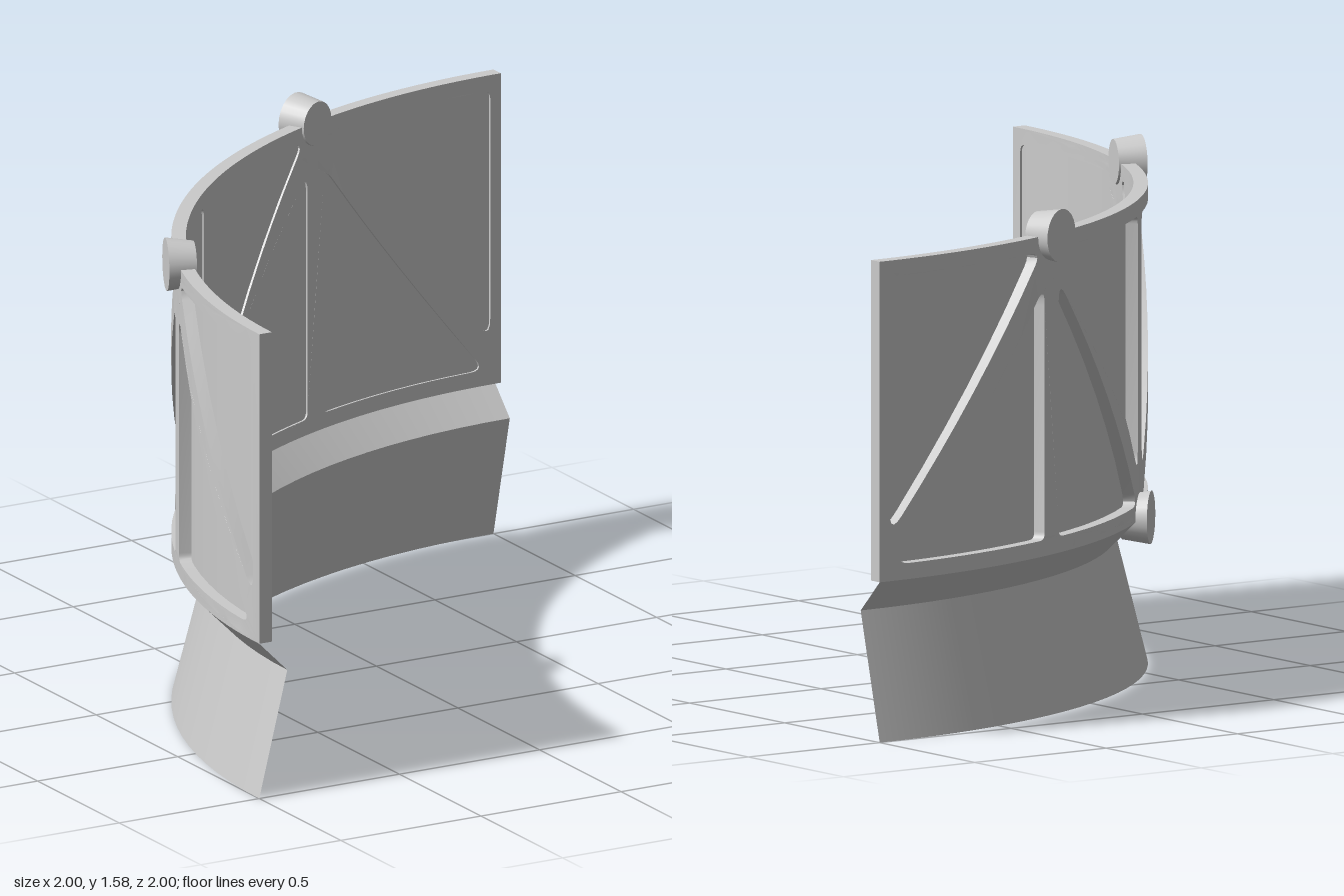
import * as THREE from 'three';
import { toCreasedNormals } from 'three/addons/utils/BufferGeometryUtils.js';

const R_IN = 1.955, DEPTH = 0.045;      // wall inner radius and thickness
const BAY = Math.PI / 4;                // each of the two bays spans 45 degrees
const HALF = R_IN * BAY / 2;            // half a bay, unrolled

// Closed polygon path with rounded corners
function roundedPath(points, radius) {
  const path = new THREE.Path();
  const pts = points.map(p => new THREE.Vector2(...p));
  pts.forEach((p, i) => {
    const prev = pts[(i + pts.length - 1) % pts.length];
    const next = pts[(i + 1) % pts.length];
    const a = prev.clone().sub(p).normalize();
    const b = next.clone().sub(p).normalize();
    // distance along the edges at which a true fillet would start
    const cut = radius / Math.tan(Math.acos(a.dot(b)) / 2);
    const start = p.clone().addScaledVector(a, cut);
    const end = p.clone().addScaledVector(b, cut);
    if (i === 0) path.moveTo(start.x, start.y);
    else path.lineTo(start.x, start.y);
    path.quadraticCurveTo(p.x, p.y, end.x, end.y);
  });
  path.closePath();
  return path;
}

// Split triangles until none is wide in x, then wrap them round the arc
function bend(geometry, centreAngle) {
  const pos = geometry.toNonIndexed().attributes.position;
  const stack = [], out = [];
  for (let i = 0; i < pos.count; i += 3) {
    stack.push([0, 1, 2].map(k => new THREE.Vector3().fromBufferAttribute(pos, i + k)));
  }
  while (stack.length) {
    const tri = stack.pop();
    let k = 0, widest = 0;
    for (let j = 0; j < 3; j++) {
      const w = Math.abs(tri[j].x - tri[(j + 1) % 3].x);
      if (w > widest) { widest = w; k = j; }
    }
    const a = tri[k], b = tri[(k + 1) % 3], c = tri[(k + 2) % 3];
    if (widest > 0.08) {
      const m = a.clone().lerp(b, 0.5);
      stack.push([a, m, c], [m, b, c]);
    } else {
      for (const p of [a, b, c]) {
        const angle = centreAngle + p.x / R_IN, r = R_IN + p.z;
        out.push(-r * Math.sin(angle), p.y, -r * Math.cos(angle));
      }
    }
  }
  const bent = new THREE.BufferGeometry();
  bent.setAttribute('position', new THREE.Float32BufferAttribute(out, 3));
  return toCreasedNormals(bent, 0.5);
}

// Flat truss of one bay: outer frame, centre post and two diagonals
function trussShape() {
  const shape = new THREE.Shape();
  shape.moveTo(-HALF, 0.5);
  shape.lineTo(HALF, 0.5);
  shape.lineTo(HALF, 1.5);
  shape.lineTo(-HALF, 1.5);
  shape.closePath();
  const lower = [[0.04, 0.55], [0.71, 0.55], [0.04, 1.35]];
  const upper = [[0.73, 1.45], [0.06, 1.45], [0.73, 0.645]];
  for (const side of [1, -1]) {
    for (const tri of [lower, upper]) {
      shape.holes.push(roundedPath(tri.map(([u, y]) => [side * u, y]), 0.025));
    }
  }
  return shape;
}

export function createModel() {
  const model = new THREE.Group();
  model.name = 'curvedTrussWall';
  const ring = new THREE.Group();
  ring.name = 'quarterRing';
  ring.position.set(1, 0, 1);           // centre of curvature
  model.add(ring);

  const solid = new THREE.MeshStandardMaterial({ color: 0xcccccc });
  const sheet = new THREE.MeshStandardMaterial({ color: 0xcccccc, side: THREE.DoubleSide });

  const add = (name, geometry, material) => {
    const mesh = new THREE.Mesh(geometry, material);
    mesh.name = name;
    ring.add(mesh);
    return mesh;
  };

  // Truss frames
  const truss = new THREE.ExtrudeGeometry(trussShape(), {
    depth: DEPTH, bevelEnabled: false, curveSegments: 5,
  });
  [0.5, 1.5].forEach((n, i) => add('trussFrame' + (i + 1), bend(truss, n * BAY), solid));

  // Quarter-round sheets: infill panel, sloped ledge and flared skirt
  const arcSheet = (name, rTop, rBottom, y0, y1) => {
    const g = new THREE.CylinderGeometry(rTop, rBottom, y1 - y0, 32, 1, true, Math.PI, Math.PI / 2);
    g.translate(0, (y0 + y1) / 2, 0);
    add(name, g, sheet);
  };
  arcSheet('infillPanel', 1.962, 1.962, 0.51, 1.49);
  arcSheet('slopedLedge', 2, 1.9, 0.4, 0.5);
  arcSheet('flaredSkirt', 1.9, 2, 0, 0.4);

  // Round bosses at the truss nodes, lying along the radius
  const boss = new THREE.CylinderGeometry(0.083, 0.07, 0.088, 24);
  boss.rotateX(-Math.PI / 2);
  [[0.5, 1.497], [1.5, 1.497], [1, 0.505]].forEach(([n, y], i) => {
    const mesh = add('nodeBoss' + (i + 1), boss, solid);
    const angle = n * BAY;
    mesh.position.set(-1.991 * Math.sin(angle), y, -1.991 * Math.cos(angle));
    mesh.rotation.y = angle;
  });

  return model;
}
